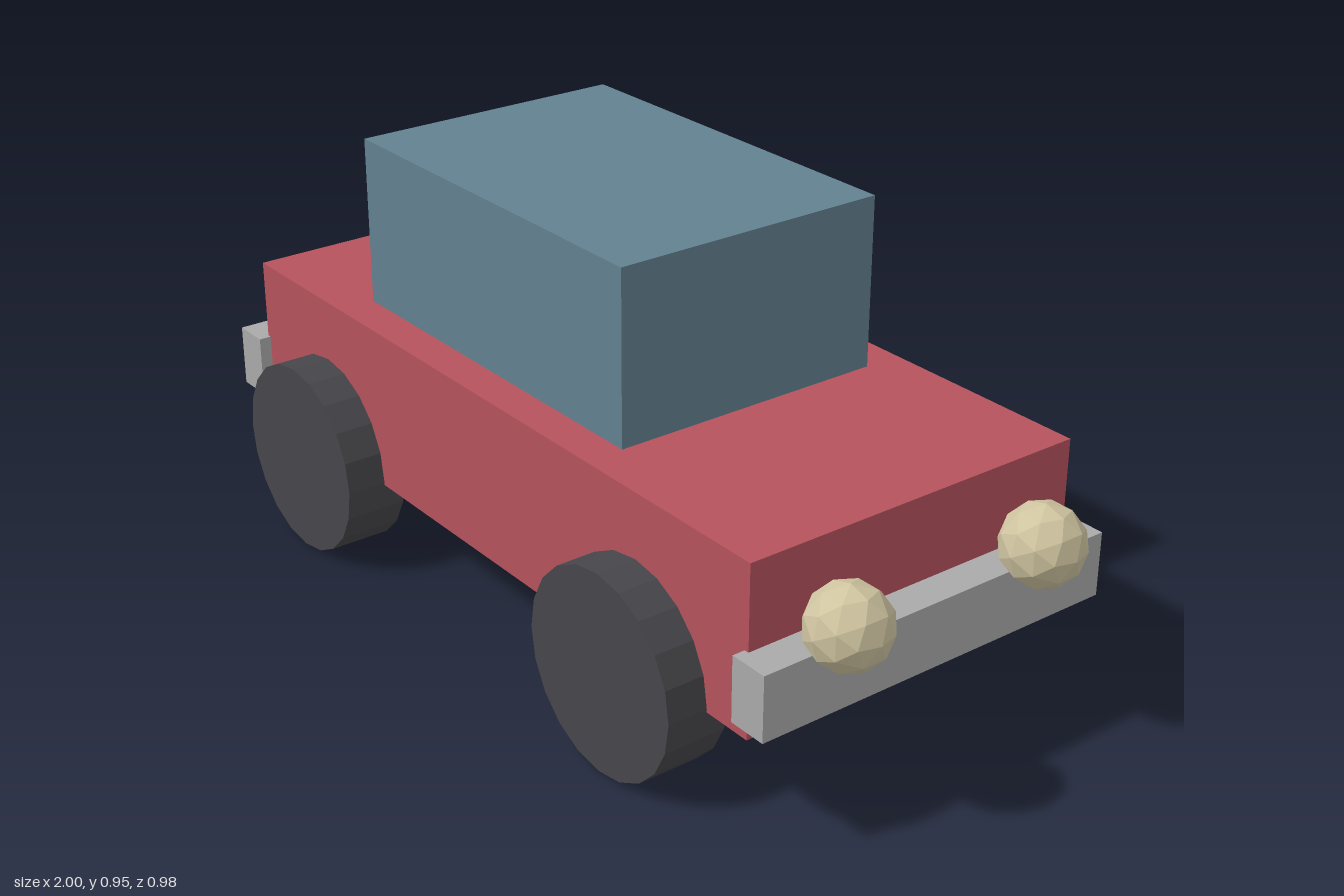
import * as THREE from 'three';

export function createModel() {
  const car = new THREE.Group();
  car.name = 'car';

  const paint = (name, color) => {
    const material = new THREE.MeshStandardMaterial({ color });
    material.name = name;
    material.flatShading = true;
    return material;
  };
  const red = paint('red body', 0xb6535d);
  const blue = paint('blue cabin', 0x638190);
  const grey = paint('grey bumper', 0xaaaaaa);
  const dark = paint('dark tyre', 0x47464a);
  const cream = paint('cream lamp', 0xcfc4a0);

  const add = (name, geometry, material, x, y, z) => {
    const mesh = new THREE.Mesh(geometry, material);
    mesh.name = name;
    mesh.position.set(x, y, z);
    car.add(mesh);
    return mesh;
  };

  // Body and cabin
  add('body', new THREE.BoxGeometry(1.746, 0.366, 0.8), red, -0.05, 0.395, 0);
  add('cabin', new THREE.BoxGeometry(0.914, 0.375, 0.63), blue, -0.12, 0.765, 0);

  // Bumpers
  const bumper = new THREE.BoxGeometry(0.087, 0.14, 0.856);
  add('frontBumper', bumper, grey, 0.856, 0.327, 0);
  add('rearBumper', bumper, grey, -0.9565, 0.327, 0);

  // Wheels and headlights, mirrored across z
  const wheel = new THREE.CylinderGeometry(0.2185, 0.2185, 0.14, 20).rotateX(Math.PI / 2);
  const lamp = new THREE.IcosahedronGeometry(0.087, 1);
  for (const side of [-1, 1]) {
    const label = side > 0 ? 'Right' : 'Left';
    add('front' + label + 'Wheel', wheel, dark, 0.49, 0.2185, side * 0.419);
    add('rear' + label + 'Wheel', wheel, dark, -0.643, 0.2185, side * 0.419);
    add('headlight' + label, lamp, cream, 0.913, 0.438, side * 0.245);
  }

  return car;
}
